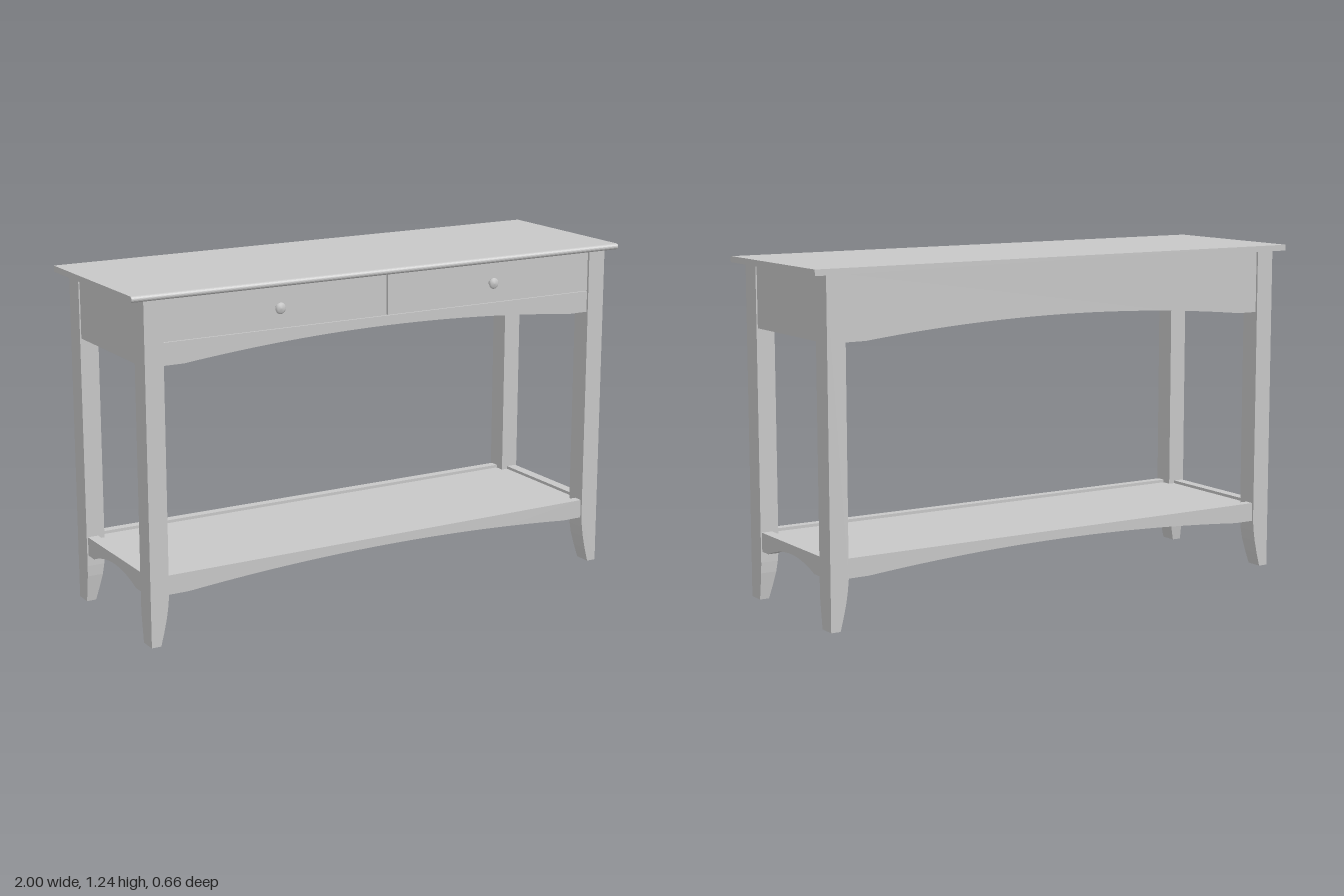
import * as THREE from 'three';
import { ConvexGeometry } from 'three/addons/geometries/ConvexGeometry.js';

export function createModel() {
  const group = new THREE.Group();
  const paint = new THREE.MeshStandardMaterial({ color: 0xc8c8c8 });
  paint.name = 'light grey';

  const add = (name, geometry, x = 0, y = 0, z = 0) => {
    const mesh = new THREE.Mesh(geometry, paint);
    mesh.name = name;
    mesh.position.set(x, y, z);
    group.add(mesh);
    return mesh;
  };
  const box = (name, w, h, d, x, y, z) => add(name, new THREE.BoxGeometry(w, h, d), x, y, z);

  // Board along x with a shallow arch cut into its lower edge, centred on z
  const archedBoard = (half, bottom, top, flat, rise, thick) => {
    const s = new THREE.Shape();
    s.moveTo(-half, bottom);
    s.lineTo(-flat, bottom);
    s.quadraticCurveTo(0, bottom + 2 * rise, flat, bottom);
    s.lineTo(half, bottom);
    s.lineTo(half, top);
    s.lineTo(-half, top);
    return new THREE.ExtrudeGeometry(s, { depth: thick, bevelEnabled: false, curveSegments: 24 })
      .translate(0, 0, -thick / 2);
  };

  // Table top: square back edge, rounded front edge
  const edge = new THREE.Shape();
  edge.moveTo(-0.327, 1.22);
  edge.lineTo(0.317, 1.22);
  edge.absarc(0.317, 1.231, 0.011, -Math.PI / 2, Math.PI / 2, false);
  edge.lineTo(-0.327, 1.242);
  const top = new THREE.ExtrudeGeometry(edge, { depth: 2, bevelEnabled: false, curveSegments: 8 });
  top.translate(0, 0, -1).rotateY(-Math.PI / 2);
  // profile x now runs along z
  add('tableTop', top);

  // Legs: square posts whose inner faces curve in at the foot
  const levels = [[0, 0.034, 0.016], [0.05, 0.021, 0.009], [0.1, 0.010, 0.002], [0.14, 0.004, 0], [0.18, 0, 0], [1.22, 0, 0]];
  for (const sx of [-1, 1]) {
    for (const sz of [-1, 1]) {
      const points = [];
      for (const [y, dx, dz] of levels) {
        for (const x of [0.88 + dx, 0.95]) {
          for (const z of [0.23 + dz, 0.31]) points.push(new THREE.Vector3(sx * x, y, sz * z));
        }
      }
      add(`${sz > 0 ? 'front' : 'back'}${sx > 0 ? 'Left' : 'Right'}Leg`, new ConvexGeometry(points));
    }
  }

  // Long aprons and shelf rails
  add('frontApron', archedBoard(0.88, 0.99, 1.069, 0.8, 0.044, 0.03), 0, 0, 0.287);
  add('backApron', archedBoard(0.88, 0.99, 1.22, 0.8, 0.044, 0.03), 0, 0, -0.287);
  for (const sz of [-1, 1]) {
    add(sz > 0 ? 'frontShelfRail' : 'backShelfRail',
      archedBoard(0.88, 0.18, 0.25, 0.8, 0.036, 0.035), 0, 0, sz * 0.285);
  }

  // Side aprons and arched side rails
  for (const sx of [-1, 1]) {
    const side = sx > 0 ? 'left' : 'right';
    box(`${side}Apron`, 0.03, 0.23, 0.46, sx * 0.93, 1.105, 0);
    const rail = add(`${side}ShelfRail`, archedBoard(0.23, 0.18, 0.25, 0.18, 0.036, 0.04), sx * 0.925);
    rail.rotation.y = Math.PI / 2;
  }

  // Lower shelf panel, set slightly below its frame
  box('shelf', 1.81, 0.018, 0.535, 0, 0.23, 0);

  // Drawers with their bottoms and turned knobs
  const knobProfile = [[0, 0], [0.009, 0], [0.006, 0.008], [0.007, 0.014], [0.018, 0.017], [0.02, 0.021], [0.014, 0.026], [0, 0.028]]
    .map(([r, h]) => new THREE.Vector2(r, h));
  for (const sx of [-1, 1]) {
    const side = sx > 0 ? 'left' : 'right';
    box(`${side}DrawerFront`, 0.876, 0.149, 0.03, sx * 0.441, 1.1455, 0.287);
    box(`${side}DrawerBottom`, 0.90, 0.012, 0.545, sx * 0.462, 1.064, 0);
    const knob = add(`${side}Knob`, new THREE.LatheGeometry(knobProfile, 20), sx * 0.441, 1.145, 0.302);
    knob.rotation.x = Math.PI / 2;
  }
  box('drawerDivider', 0.024, 0.14, 0.545, 0, 1.147, 0);

  return group;
}
